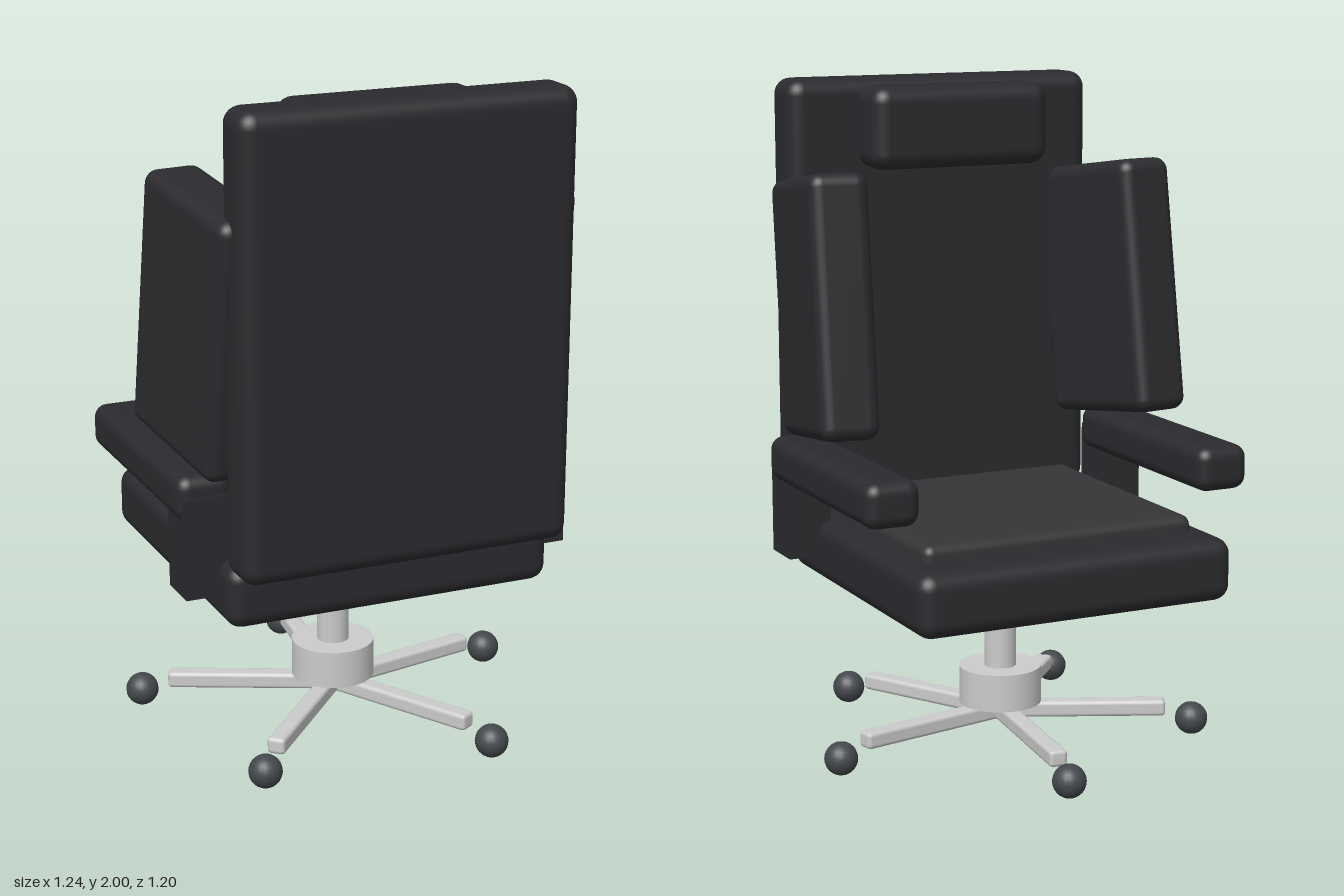
import * as THREE from 'three';
import { RoundedBoxGeometry } from 'three/addons/geometries/RoundedBoxGeometry.js';

const leather = new THREE.MeshStandardMaterial({ color: 0x2b2a2e });
const cushionLeather = new THREE.MeshStandardMaterial({ color: 0x353538 });
const metal = new THREE.MeshStandardMaterial({ color: 0xcccccc });
const rubber = new THREE.MeshStandardMaterial({ color: 0x44484c });

function add(parent, name, geometry, material, x, y, z) {
  const mesh = new THREE.Mesh(geometry, material);
  mesh.name = name;
  mesh.position.set(x, y, z);
  parent.add(mesh);
  return mesh;
}

// Padded block: size, corner radius, centre
function pad(parent, name, [w, h, d], r, [x, y, z], material = leather) {
  return add(parent, name, new RoundedBoxGeometry(w, h, d, 4, r), material, x, y, z);
}

export function createModel() {
  const chair = new THREE.Group();
  chair.name = 'officeChair';
  chair.position.x = -0.007;

  // Seat and back; the sitter looks toward -z
  pad(chair, 'seat', [1.01, 0.19, 0.98], 0.05, [0, 0.595, -0.008]);
  pad(chair, 'seatCushion', [0.87, 0.1, 0.82], 0.03, [0, 0.69, 0.04], cushionLeather);
  pad(chair, 'backrest', [1.01, 1.33, 0.167], 0.05, [0, 1.335, 0.515]);
  pad(chair, 'headrest', [0.585, 0.25, 0.175], 0.05, [0, 1.855, 0.363]);

  // Armrests, posts and tilted side wings
  for (const [side, label] of [[1, 'left'], [-1, 'right']]) {
    pad(chair, label + 'Armrest', [0.167, 0.135, 0.77], 0.04, [side * 0.533, 0.873, -0.005]);
    add(chair, label + 'ArmrestPost', new THREE.BoxGeometry(0.135, 0.3, 0.137), leather,
      side * 0.533, 0.73, 0.318);
    const wing = pad(chair, label + 'Wing', [0.18, 0.775, 0.49], 0.04, [side * 0.482, 1.342, 0.235]);
    wing.rotation.set(0.144, -side * 0.125, 0, 'YXZ');
  }

  // Column and hub
  const base = new THREE.Group();
  base.name = 'base';
  base.position.z = 0.037;
  chair.add(base);
  add(base, 'column', new THREE.CylinderGeometry(0.049, 0.049, 0.32, 20), metal, 0, 0.36, 0);
  add(base, 'hub', new THREE.CylinderGeometry(0.126, 0.126, 0.115, 24), metal, 0, 0.1725, 0);

  // Five legs, each ending near a ball caster
  const legGeometry = new RoundedBoxGeometry(0.508, 0.05, 0.055, 2, 0.012);
  const casterGeometry = new THREE.SphereGeometry(0.05, 20, 14);
  for (let i = 0; i < 5; i++) {
    const spoke = new THREE.Group();
    spoke.name = 'spoke' + (i + 1);
    spoke.rotation.y = THREE.MathUtils.degToRad(11.4 + i * 72);
    base.add(spoke);
    add(spoke, 'leg', legGeometry, metal, 0.254, 0.09, 0);
    add(spoke, 'caster', casterGeometry, rubber, 0.59, 0.052, 0);
  }
  return chair;
}
